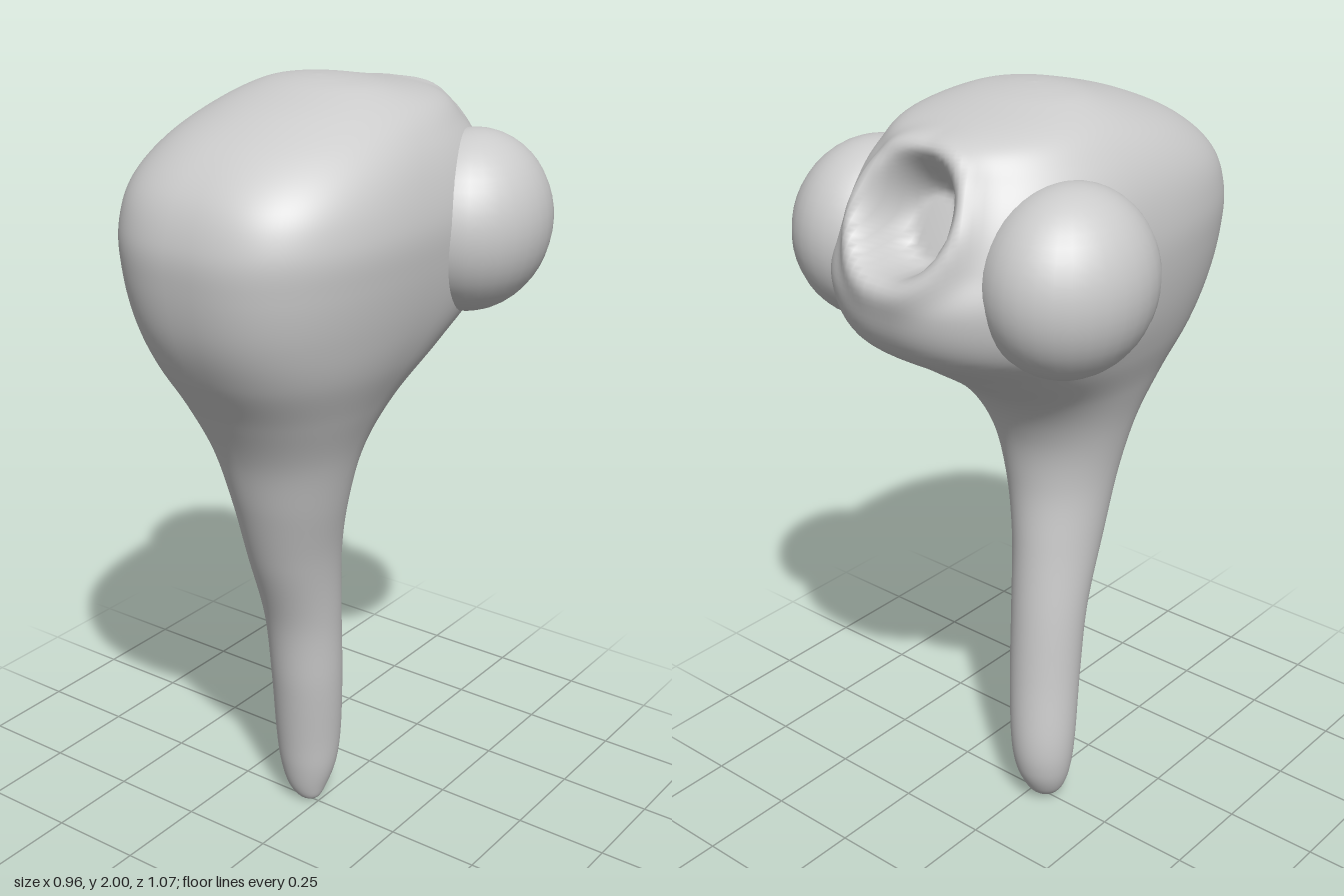
import * as THREE from 'three';

const { smoothstep } = THREE.MathUtils;
const material = new THREE.MeshStandardMaterial({ color: 0xcccccc, roughness: 0.8 });

// Body outline by height: y, right x, left x, back z, front z
const SECTIONS = [
  [0.0, -0.03, -0.03, 0.0, 0.0],
  [0.012, -0.068, -0.003, -0.028, 0.025],
  [0.05, -0.1, 0.014, -0.06, 0.045],
  [0.12, -0.122, 0.034, -0.09, 0.062],
  [0.22, -0.13, 0.047, -0.1, 0.077],
  [0.4, -0.125, 0.065, -0.085, 0.105],
  [0.6, -0.125, 0.077, -0.068, 0.138],
  [0.8, -0.13, 0.102, -0.047, 0.212],
  [0.97, -0.143, 0.143, -0.038, 0.27],
  [1.12, -0.175, 0.185, -0.065, 0.318],
  [1.25, -0.222, 0.24, -0.15, 0.385],
  [1.37, -0.277, 0.297, -0.315, 0.46],
  [1.48, -0.315, 0.333, -0.478, 0.508],
  [1.6, -0.338, 0.355, -0.525, 0.53],
  [1.7, -0.342, 0.36, -0.49, 0.528],
  [1.8, -0.325, 0.338, -0.442, 0.485],
  [1.88, -0.287, 0.3, -0.392, 0.395],
  [1.94, -0.23, 0.245, -0.335, 0.265],
  [1.98, -0.15, 0.16, -0.16, 0.13],
  [1.995, -0.075, 0.075, -0.07, 0.06],
  [2.0, 0, 0, 0, 0],
];

// Socket sunk into the upper back
const HOLE = new THREE.Vector3(0, 1.79, -0.44);
const HOLE_OUT = new THREE.Vector3(0, 0.46, -0.89).normalize();
const HOLE_UP = new THREE.Vector3(0, 0.89, 0.46).normalize();

function sinkSocket(p) {
  const d = p.clone().sub(HOLE);
  if (Math.abs(d.dot(HOLE_OUT)) > 0.2) return;
  const r = Math.hypot(d.x / 0.135, d.dot(HOLE_UP) / 0.155);
  const depth = 0.12 * (1 - smoothstep(r, 0.5, 1.0));
  // Raised lip, strongest at the two sides
  const lip = (0.012 + 0.12 * Math.abs(d.x)) * Math.exp(-(((r - 1.15) / 0.22) ** 2));
  p.addScaledVector(HOLE_OUT, lip - depth);
}

// Smooth skin lofted through the sections
function bodyGeometry(rows = 160, sides = 128) {
  const spline = (a, b) => new THREE.CatmullRomCurve3(
    SECTIONS.map((s) => new THREE.Vector3(s[a], s[0], s[b])), false, 'catmullrom', 0.5);
  const xs = spline(1, 2);
  const zs = spline(3, 4);
  const positions = [];
  const index = [];
  const p = new THREE.Vector3();
  for (let r = 0; r <= rows; r++) {
    const X = xs.getPoint(r / rows);
    const Z = zs.getPoint(r / rows);
    // Round stalk and crown, squarer head
    const square = smoothstep(X.y, 0.9, 1.6) * (1 - smoothstep(X.y, 1.75, 2.0));
    for (let i = 0; i < sides; i++) {
      const a = (i / sides) * Math.PI * 2;
      const power = 2 / (2 + square * (0.6 + 0.1 * Math.cos(a)));
      const s = Math.sign(Math.sin(a)) * Math.abs(Math.sin(a)) ** power;
      const c = Math.sign(Math.cos(a)) * Math.abs(Math.cos(a)) ** power;
      p.set((X.x + X.z) / 2 + ((X.z - X.x) / 2) * s, X.y, (Z.x + Z.z) / 2 + ((Z.z - Z.x) / 2) * c);
      sinkSocket(p);
      positions.push(p.x, p.y, p.z);
      if (r < rows) {
        const j = (i + 1) % sides;
        const lo = r * sides;
        const hi = lo + sides;
        index.push(lo + i, lo + j, hi + j, lo + i, hi + j, hi + i);
      }
    }
  }
  const geometry = new THREE.BufferGeometry();
  geometry.setAttribute('position', new THREE.Float32BufferAttribute(positions, 3));
  geometry.setIndex(index);
  geometry.computeVertexNormals();
  return geometry;
}

export function createModel() {
  const model = new THREE.Group();
  model.name = 'bulbHeadedStalk';

  const body = new THREE.Mesh(bodyGeometry(), material);
  body.name = 'body';
  model.add(body);

  // Rounded side lobes
  for (const side of [-1, 1]) {
    const lobe = new THREE.Mesh(new THREE.SphereGeometry(1, 32, 24), material);
    lobe.name = side > 0 ? 'leftLobe' : 'rightLobe';
    lobe.scale.set(0.19, 0.22, 0.224);
    lobe.position.set(side * 0.288, 1.65, -0.228);
    model.add(lobe);
  }
  return model;
}
